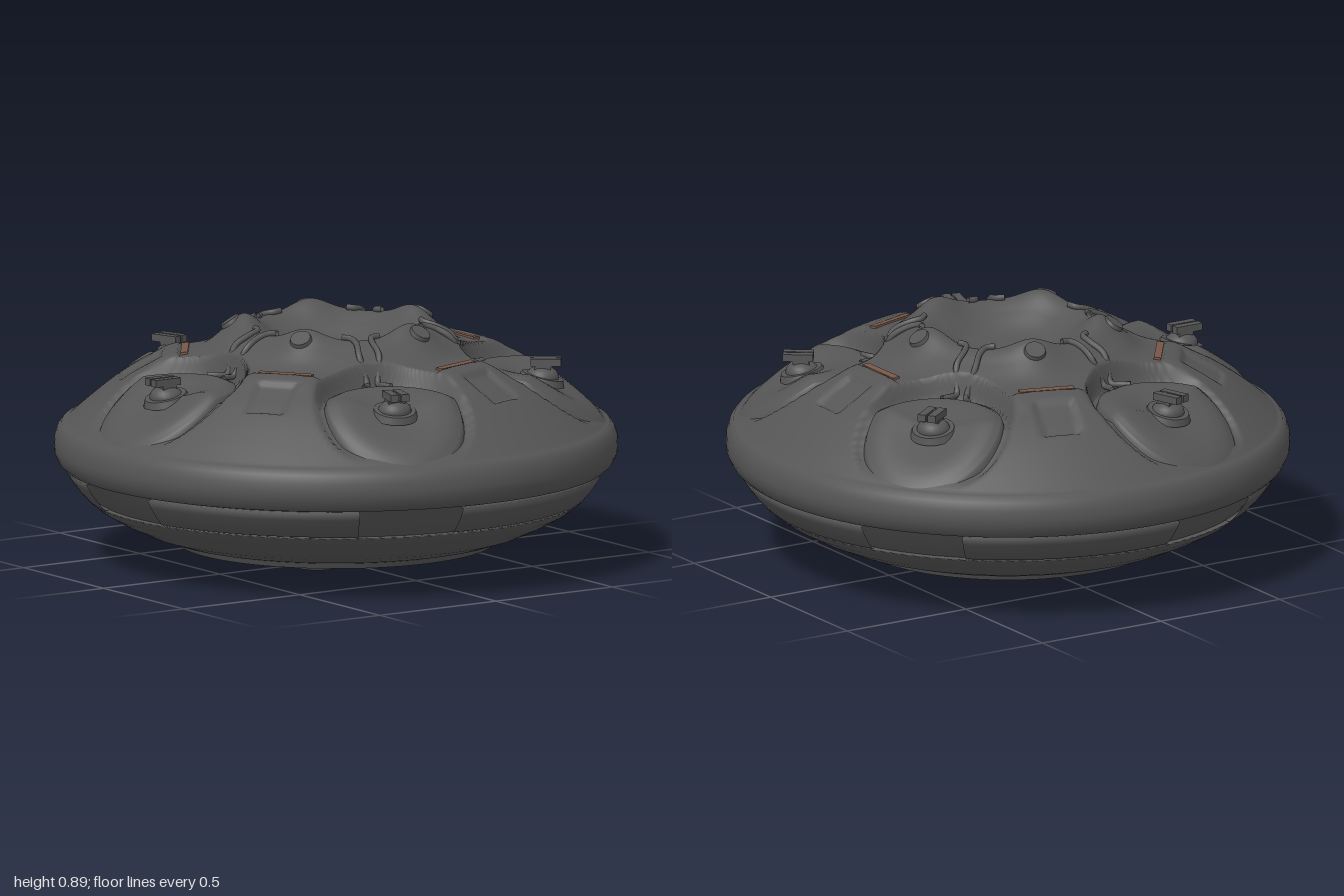
import * as THREE from 'three';

const STEP = Math.PI * 2 / 5;
const hullGrey = new THREE.MeshStandardMaterial({ color: 0x555555, side: THREE.DoubleSide });
hullGrey.name = 'hull grey';
const copper = new THREE.MeshStandardMaterial({ color: 0x775647 });
copper.name = 'copper brown';

const smooth = (x, a, b) => THREE.MathUtils.smoothstep(x, a, b);

// Height of the upper hull at every 0.08 of radius, from the central bowl to the rim
const HEIGHTS = [0.755, 0.757, 0.768, 0.81, 0.843, 0.805, 0.765, 0.752, 0.73, 0.69, 0.635, 0.57, 0.5];
function baseHeight(r) {
  const t = Math.min(r / 0.08, 11.9999), i = Math.floor(t), f = t - i;
  const h = (k) => HEIGHTS[Math.min(Math.max(k, 0), 12)];
  const a = h(i - 1), b = h(i), c = h(i + 1), d = i === 11 ? 0.43 : h(i + 2);
  return b + 0.5 * f * (c - a + f * (2 * a - 5 * b + 4 * c - d + f * (3 * (b - c) + d - a)));
}

// The pods sit lower than the deck on their inner side
const podFloor = (r) => Math.min(baseHeight(r), 0.7 - 0.06 * (r - 0.6));

// Full upper surface: five domes, five ledges with square recesses and five pod cut-outs
function hullHeight(x, z) {
  const r = Math.hypot(x, z), angle = Math.atan2(z, x);
  const t = angle - Math.round(angle / STEP) * STEP;
  const u = r * Math.cos(t), v = r * Math.sin(t);
  const p = Math.abs(t) - STEP / 2;
  const podDist = Math.hypot(r * Math.cos(p) - 0.72, r * Math.sin(p));
  const dome = 0.044 * Math.exp(-((u - 0.335) ** 2 + v ** 2) / 0.0085);
  const ledge = 0.013 * smooth(u, 0.548, 0.56) * (1 - smooth(u, 0.58, 0.68)) * (1 - smooth(Math.abs(v), 0.11, 0.15));
  const square = Math.max(Math.abs(u - 0.69), Math.abs(v));
  const recess = 0.016 * (1 - smooth(square, 0.06, 0.08));
  const deck = baseHeight(r) + dome + ledge - recess;
  const cut = 1 - smooth(podDist, 0.262, 0.283);
  const floor = podFloor(r) - 0.026 * (1 - smooth(r, 0.85, 0.95));
  return THREE.MathUtils.lerp(deck, Math.min(deck, floor), cut);
}

// Round height field made of concentric loops
function roundField(radii, sides, cx, height) {
  const pos = [cx, height(cx, 0, 0), 0], index = [];
  radii.forEach((r, i) => {
    for (let j = 0; j < sides; j++) {
      const a = j / sides * Math.PI * 2, x = cx + r * Math.cos(a), z = r * Math.sin(a);
      pos.push(x, height(x, z, r), z);
      const k = 1 + i * sides + j, n = 1 + i * sides + (j + 1) % sides;
      if (i === 0) index.push(0, n, k);
      else index.push(k - sides, n - sides, n, k - sides, n, k);
    }
  });
  const g = new THREE.BufferGeometry();
  g.setAttribute('position', new THREE.Float32BufferAttribute(pos, 3));
  g.setIndex(index);
  g.computeVertexNormals();
  return g;
}

function add(parent, name, geometry, material = hullGrey, x = 0, y = 0, z = 0) {
  const m = new THREE.Mesh(geometry, material);
  m.name = name;
  m.position.set(x, y, z);
  parent.add(m);
  return m;
}

function lathe(points, sides = 96, start = 0, length = Math.PI * 2) {
  return new THREE.LatheGeometry(points.map((p) => new THREE.Vector2(...p)), sides, start, length);
}

// Separate lathes for each straight run keep the edges crisp
function crispLathe(parent, name, points) {
  for (let i = 1; i < points.length; i++) add(parent, name, lathe([points[i - 1], points[i]]));
}

export function createModel() {
  const model = new THREE.Group();
  model.name = 'saucer';

  // Upper hull
  const radii = Array.from({ length: 120 }, (_, i) => 0.963 * (i + 1) / 120);
  add(model, 'upperHull', roundField(radii, 320, 0, hullHeight));

  // Rim band and lower hull
  add(model, 'rimBand', lathe([[0.945, 0.345], [0.968, 0.347], [0.985, 0.365], [0.998, 0.395], [1, 0.42],
    [0.998, 0.45], [0.988, 0.48], [0.972, 0.499], [0.955, 0.503]], 128));
  add(model, 'beltRecess', lathe([[0.855, 0.23], [0.9, 0.28], [0.945, 0.348]], 128));
  add(model, 'lowerHull', lathe([[0.62, 0.1], [0.7, 0.127], [0.78, 0.165], [0.84, 0.2], [0.878, 0.23], [0.88, 0.236], [0.85, 0.238]], 128));

  // Raised armour panels of the belt
  for (let i = 0; i < 5; i++) {
    const length = STEP - 0.4;
    add(model, 'beltPanel', lathe([[0.86, 0.24], [0.89, 0.241], [0.92, 0.275], [0.945, 0.31], [0.962, 0.338], [0.94, 0.341]],
      24, Math.PI / 2 + i * STEP - length / 2, length));
  }

  // Underside rings
  crispLathe(model, 'baseRing', [[0.455, 0.1], [0.5, 0.075], [0.565, 0.07], [0.575, 0.09], [0.62, 0.1]]);
  crispLathe(model, 'toothGroove', [[0.39, 0.1], [0.455, 0.1]]);
  add(model, 'innerRing', lathe([[0.31, 0.08], [0.325, 0.055], [0.35, 0.043], [0.375, 0.045], [0.39, 0.06], [0.39, 0.1]]));
  crispLathe(model, 'engineFloor', [[0, 0.07], [0.33, 0.07]]);
  for (let i = 0; i < 40; i++) {
    const a = i / 40 * Math.PI * 2;
    const tooth = add(model, 'ringTooth', new THREE.BoxGeometry(0.07, 0.022, 0.036), hullGrey,
      0.425 * Math.cos(a), 0.091, 0.425 * Math.sin(a));
    tooth.rotation.y = -a;
  }

  // Parts repeated around the dome directions
  for (let i = 0; i < 5; i++) {
    const sector = new THREE.Group();
    sector.name = 'domeSector';
    sector.rotation.y = i * STEP;
    model.add(sector);

    const strip = add(sector, 'copperStrip', new THREE.BoxGeometry(0.026, 0.02, 0.2), copper, 0.535, hullHeight(0.535, 0) - 0.003, 0);
    strip.rotation.z = -0.1;
    const cap = add(sector, 'domeCap', new THREE.CylinderGeometry(0.036, 0.04, 0.014, 24), hullGrey, 0.375, hullHeight(0.375, 0) + 0.002, 0);
    cap.rotation.z = -0.6;

    // Thruster cup with a rounded core
    add(sector, 'thrusterCup', lathe([[0.05, 0.05], [0.062, 0.016], [0.072, 0.009], [0.085, 0.02], [0.088, 0.072]], 28), hullGrey, 0.2, 0, 0);
    const core = add(sector, 'thrusterCore', new THREE.SphereGeometry(0.06, 20, 12), hullGrey, 0.2, 0.04, 0);
    core.scale.y = 0.667;
  }

  // Parts repeated around the pod directions
  for (let i = 0; i < 5; i++) {
    const sector = new THREE.Group();
    sector.name = 'podSector';
    sector.rotation.y = Math.PI + i * STEP;
    model.add(sector);

    // Dished round pod sunk into its cut-out
    const podHeight = (x, z, d) => {
      const bulge = -0.024 + 0.032 * smooth(d, 0.04, 0.19) - 0.014 * smooth(d, 0.21, 0.242) - 0.025 * smooth(d, 0.242, 0.25);
      return podFloor(Math.hypot(x, z)) + bulge;
    };
    const podRadii = [0.03, 0.06, 0.09, 0.12, 0.15, 0.17, 0.19, 0.21, 0.225, 0.235, 0.242, 0.246, 0.25];
    add(sector, 'pod', roundField(podRadii, 64, 0.725, podHeight));

    // Turret
    const turret = new THREE.Group();
    turret.name = 'turret';
    turret.position.set(0.73, 0.65, 0);
    sector.add(turret);
    const foot = add(turret, 'turretFoot', new THREE.CylinderGeometry(0.075, 0.085, 0.025, 28), hullGrey, 0, 0.006, 0);
    foot.rotation.z = -0.25;
    const dome = add(turret, 'turretDome', new THREE.SphereGeometry(0.06, 24, 12), hullGrey, 0, 0.012, 0);
    dome.scale.y = 0.7;
    const neck = add(turret, 'turretNeck', new THREE.BoxGeometry(0.055, 0.06, 0.06), hullGrey, 0.002, 0.045, 0);
    neck.rotation.z = -0.3;
    for (const s of [-1, 1]) {
      add(turret, 'gunBarrel', new THREE.BoxGeometry(0.108, 0.026, 0.03), hullGrey, 0.014, 0.069, s * 0.019);
    }
    add(turret, 'gunBridge', new THREE.BoxGeometry(0.09, 0.02, 0.03), hullGrey, 0.01, 0.067, 0);

    // Pair of cables running down from the bowl edge onto the pod
    for (const s of [-1, 1]) {
      const path = [[0.3, 0.068], [0.31, 0.04], [0.35, 0.03], [0.41, 0.036], [0.455, 0.02], [0.49, 0.03], [0.52, 0.05]];
      const points = path.map(([x, z]) => {
        // The pod directions sit half a step away, so sample on the negative axis
        return new THREE.Vector3(x, Math.max(hullHeight(-x, z) + 0.008, 0.712), s * z);
      });
      add(sector, 'cable', new THREE.TubeGeometry(new THREE.CatmullRomCurve3(points), 36, 0.011, 8));
    }

    // Bracing spoke between the thrusters
    add(sector, 'engineSpoke', new THREE.BoxGeometry(0.13, 0.025, 0.035), hullGrey, 0.27, 0.062, 0);
  }

  return model;
}
